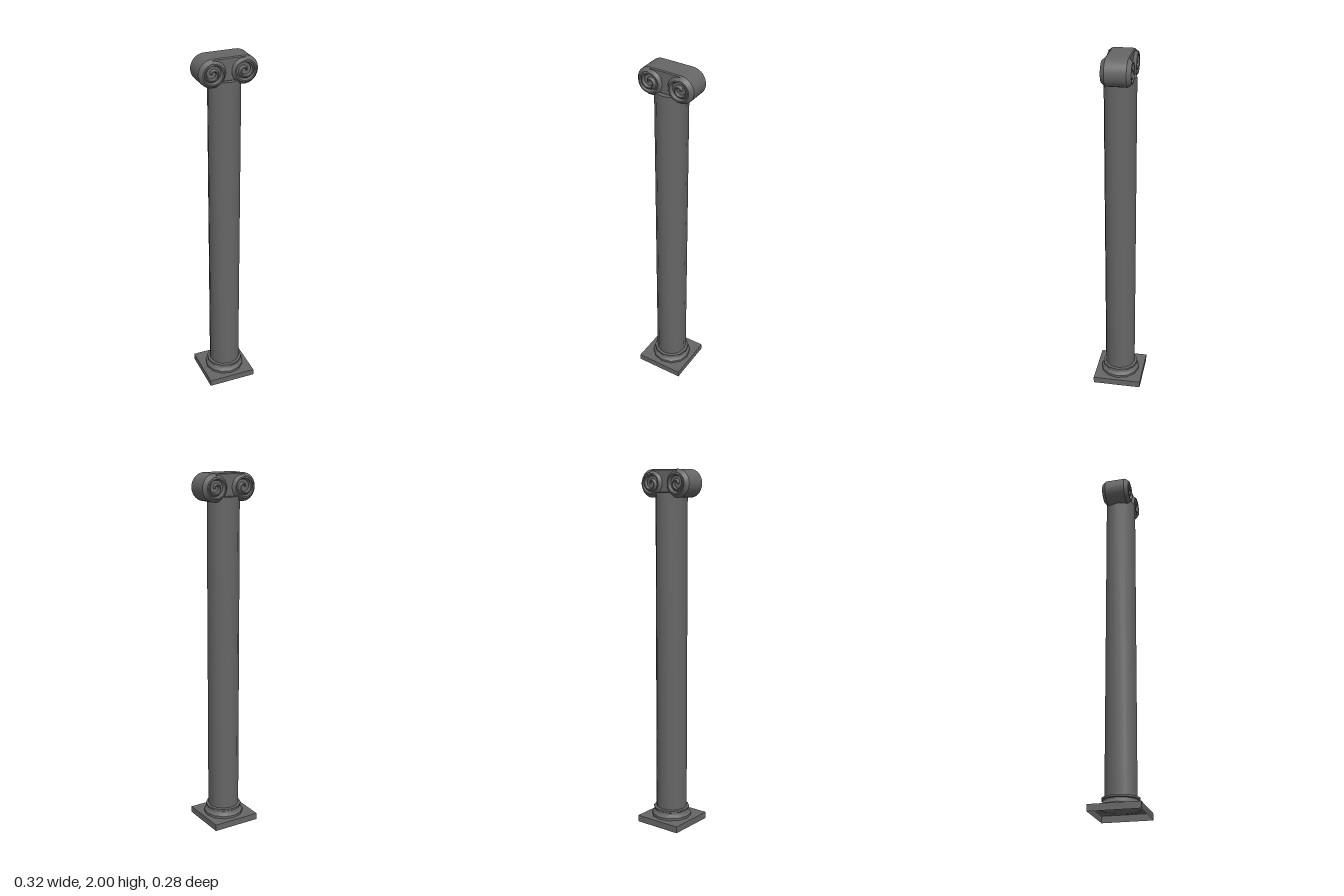
import * as THREE from 'three';
import { toCreasedNormals } from 'three/addons/utils/BufferGeometryUtils.js';

const material = new THREE.MeshStandardMaterial({ color: 0x666666, side: THREE.DoubleSide });
const CREASE = 0.6;
const EYE_X = 0.087, EYE_Y = 1.925, SCROLL_R = 0.075;

function part(name, geometry) {
  const mesh = new THREE.Mesh(toCreasedNormals(geometry, CREASE), material);
  mesh.name = name;
  return mesh;
}

function lathe(name, profile) {
  return part(name, new THREE.LatheGeometry(profile.map(([r, y]) => new THREE.Vector2(r, y)), 12));
}

// Square slab, open underneath
function plinth() {
  const geometry = new THREE.BoxGeometry(0.28, 0.037, 0.28);
  const index = Array.from(geometry.index.array);
  index.splice(18, 6); // drop the bottom face
  geometry.setIndex(index);
  geometry.clearGroups();
  const mesh = part('plinth', geometry);
  mesh.position.set(-0.004, 0.0185, 0);
  return mesh;
}

// Two round scroll ends joined by a straight band
function capitalBody() {
  const shape = new THREE.Shape();
  const dip = Math.asin(0.05 / SCROLL_R);
  shape.absarc(EYE_X, EYE_Y, SCROLL_R, -Math.PI + dip, Math.PI / 2, false);
  shape.absarc(-EYE_X, EYE_Y, SCROLL_R, Math.PI / 2, 2 * Math.PI - dip, false);
  const geometry = new THREE.ExtrudeGeometry(shape, {
    depth: 0.114, curveSegments: 14, bevelEnabled: true,
    bevelThickness: 0.005, bevelSize: 0.005, bevelOffset: -0.005, bevelSegments: 1,
  });
  geometry.translate(0, 0, -0.057);
  return part('capitalBody', geometry);
}

// Raised ridge: one full turn round the rim, then a curl into the eye
function volute(side) {
  const steps = 64, turns = 2.25, positions = [], index = [];
  for (let i = 0; i <= steps; i++) {
    const turn = (i / steps) * turns;
    const angle = Math.PI / 2 - turn * 2 * Math.PI;
    const curl = Math.max(0, (turn - 0.85) / (turns - 0.85));
    const r = 0.058 * (1 - curl) + 0.008 * curl;
    const width = 1 - 0.5 * curl;
    const top = 0.079 - 0.004 * curl;
    // Cross-section as radius and z: outer foot, crest, inner foot
    const section = [
      [r + 0.017 * width, 0.057],
      [r, top],
      [r - 0.007 * width, top],
      [r - 0.015 * width, 0.06],
    ];
    for (const [radius, z] of section) {
      positions.push(side * (EYE_X + Math.cos(angle) * radius), EYE_Y + Math.sin(angle) * radius, z);
    }
    if (i === steps) continue;
    for (let j = 0; j < 3; j++) {
      const a = i * 4 + j, b = a + 1, c = a + 4, d = a + 5;
      if (side > 0) index.push(a, c, b, b, c, d);
      else index.push(a, b, c, b, d, c);
    }
  }
  const geometry = new THREE.BufferGeometry();
  geometry.setAttribute('position', new THREE.Float32BufferAttribute(positions, 3));
  geometry.setIndex(index);
  geometry.computeVertexNormals();
  return part(side > 0 ? 'leftVolute' : 'rightVolute', geometry);
}

export function createModel() {
  const model = new THREE.Group();
  model.name = 'column';
  model.add(plinth());

  // Moulded foot
  model.add(lathe('baseMoulding', [
    [0.113, 0.036], [0.113, 0.05], [0.104, 0.057], [0.097, 0.066],
    [0.096, 0.076], [0.103, 0.08], [0.103, 0.09], [0.087, 0.093],
  ]));

  // Plain shaft
  model.add(lathe('shaft', [[0.088, 0.037], [0.088, 1.878], [0, 1.878]]));

  // Capital with a pair of volutes front and back
  const capital = new THREE.Group();
  capital.name = 'capital';
  capital.add(capitalBody());
  for (const turn of [0, Math.PI]) {
    const face = new THREE.Group();
    face.name = turn ? 'backVolutes' : 'frontVolutes';
    for (const side of [1, -1]) face.add(volute(side));
    face.rotation.y = turn;
    capital.add(face);
  }
  model.add(capital);
  return model;
}
